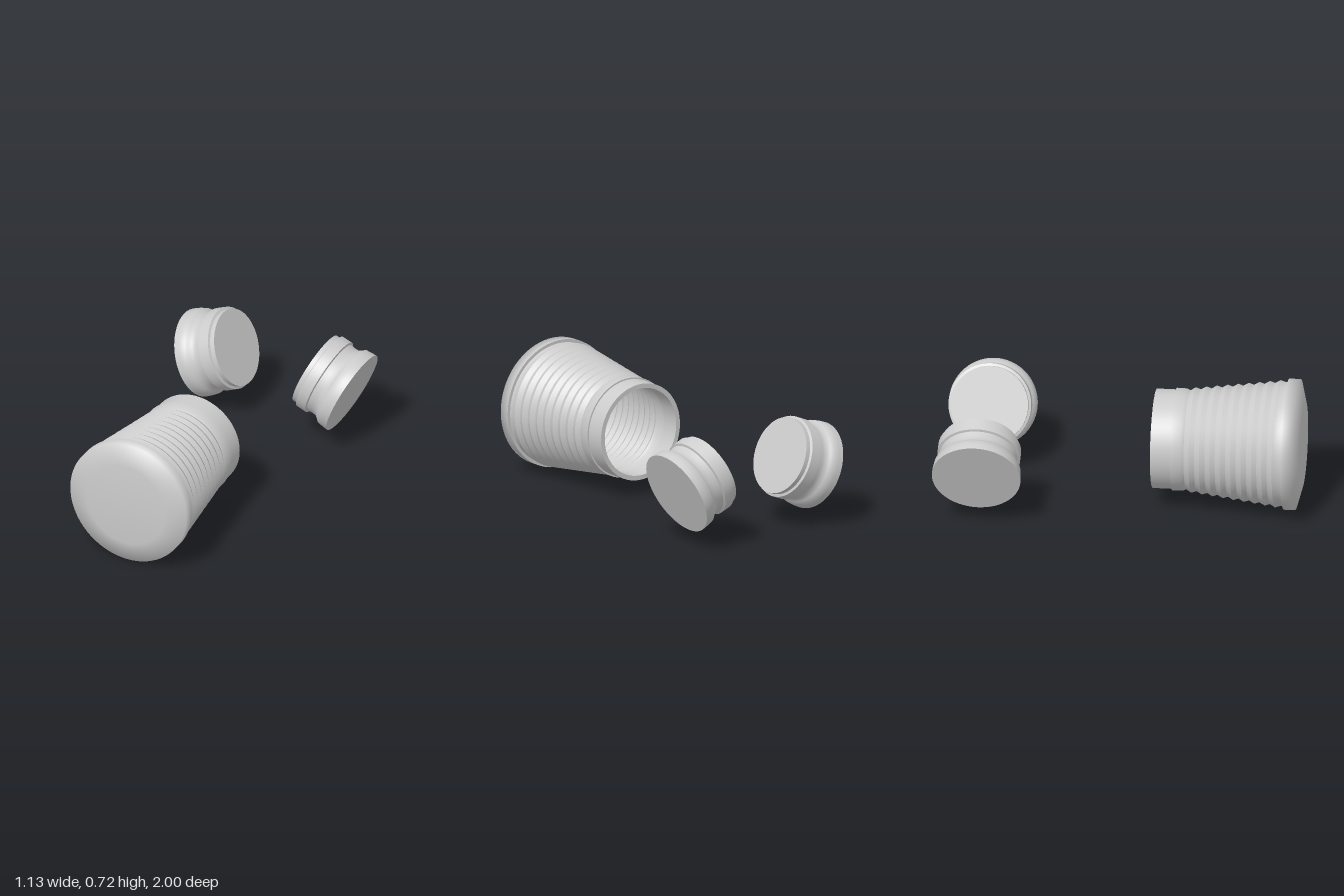
import * as THREE from 'three';
import { toCreasedNormals } from 'three/addons/utils/BufferGeometryUtils.js';

const SEGMENTS = 72;

// Revolve a list of [radius, height] pairs; a crease angle keeps the sharper edges crisp.
function turned(points, crease) {
  const g = new THREE.LatheGeometry(points.map(([r, h]) => new THREE.Vector2(r, h)), SEGMENTS);
  return crease ? toCreasedNormals(g, crease) : g;
}

export function createModel() {
  const model = new THREE.Group();
  const grey = new THREE.MeshStandardMaterial({ name: 'light grey', color: 0xcccccc });

  function add(name, geometry, parent) {
    const mesh = new THREE.Mesh(geometry, grey);
    mesh.name = name;
    parent.add(mesh);
    return mesh;
  }

  // Hollow cup lying along z, open at the back
  const cup = new THREE.Group();
  cup.name = 'ribbedCup';
  cup.position.y = 0.363;
  cup.rotation.x = Math.PI / 2;
  model.add(cup);

  // Ribs that widen towards the front
  const ribs = [];
  const count = 9, start = 0.365, pitch = 0.058;
  for (let i = 0; i < count; i++) {
    const valley = start + i * pitch;
    const base = 0.272 + 0.068 * (i / count);
    ribs.push([base, valley], [base + 0.017, valley + pitch * 0.5]);
  }
  ribs.push([0.34, start + count * pitch], [0.343, 0.906]);

  // Inside wall from front to back, then the lip, collar and ribs outside
  const wall = 0.025;
  const inside = ribs.map(([r, h]) => [r - wall, h]).reverse();
  add('cupWall', turned([
    [0, 0.93], [0.31, 0.93], ...inside,
    [0.255, 0.35], [0.255, 0.29], [0.247, 0.29], [0.247, 0.18],
    [0.273, 0.18], [0.273, 0.29], [0.282, 0.29], [0.281, 0.345],
    ...ribs,
  ], 0.65), cup);

  // Softly shaded end cap with a flat rear shoulder
  add('endCap', turned([[0.36, 0.906], [0.36, 0.968], [0.24, 1], [0, 1]]), cup);
  add('endCapShoulder', turned([[0.33, 0.906], [0.36, 0.906]]), cup);

  // Pair of tilted grooved plugs behind the cup
  const plugGeometry = turned([
    [0, 0], [0.244, 0], [0.243, 0.03], [0.239, 0.063], [0.226, 0.078],
    [0.213, 0.096], [0.212, 0.12], [0.215, 0.15], [0.228, 0.154],
    [0.228, 0.215], [0.214, 0.22], [0.214, 0.247], [0, 0.247],
  ], 0.7);
  for (const side of [1, -1]) {
    const plug = add(side > 0 ? 'leftPlug' : 'rightPlug', plugGeometry, model);
    plug.position.set(side * 0.4715, 0.305, -0.757);
    plug.rotation.z = side * 1.177;
  }

  return model;
}
